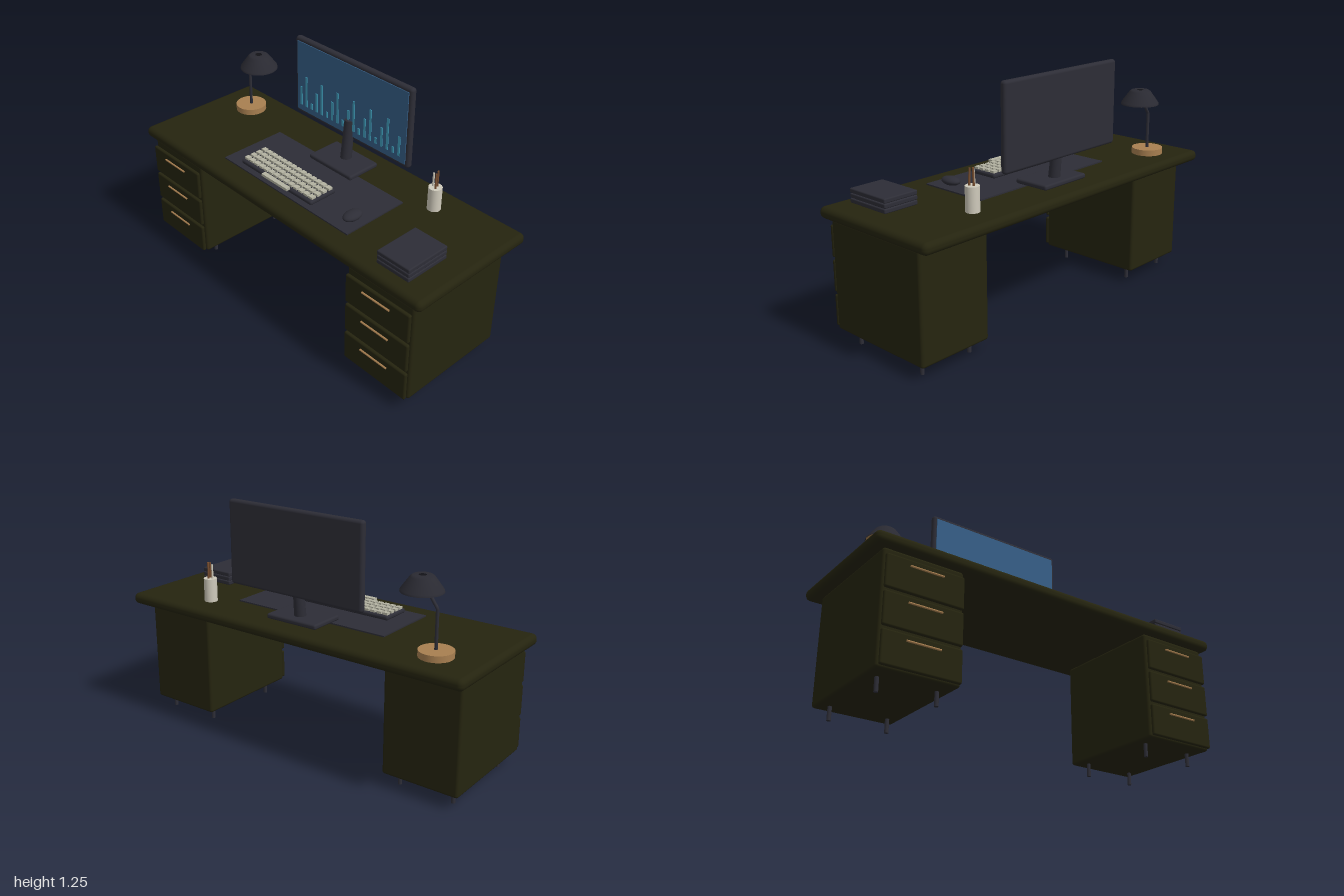
import * as THREE from 'three';
import { RoundedBoxGeometry } from 'three/addons/geometries/RoundedBoxGeometry.js';

const mat = (name, color) => {
  const m = new THREE.MeshStandardMaterial({ color });
  m.name = name;
  return m;
};

export function createModel() {
  const olive = mat('dark olive', 0x25240f);
  const charcoal = mat('charcoal', 0x2d2d36);
  const wood = mat('light wood', 0xa87f50);
  const cream = mat('cream', 0xcfcabb);
  const keyGrey = mat('key grey', 0xb4b3a2);
  const blue = mat('screen blue', 0x365f88);
  const teal = mat('chart teal', 0x419fbe);
  const brown = mat('pencil brown', 0x7a4f30);
  const shadeMat = mat('lamp charcoal', 0x2a2a32);
  shadeMat.side = THREE.DoubleSide;

  const model = new THREE.Group();
  model.name = 'desk';
  const group = (name, parent = model) => {
    const g = new THREE.Group();
    g.name = name;
    parent.add(g);
    return g;
  };
  const add = (parent, name, geo, material, x, y, z) => {
    const m = new THREE.Mesh(geo, material);
    m.name = name;
    m.position.set(x, y, z);
    parent.add(m);
    return m;
  };
  // box given by its centre and size, rounded when r > 0
  const box = (parent, name, material, [x, y, z], [w, h, d], r = 0) =>
    add(parent, name, r ? new RoundedBoxGeometry(w, h, d, 3, r) : new THREE.BoxGeometry(w, h, d), material, x, y, z);
  const rod = (parent, name, material, [x, y, z], rTop, rBottom, h, sides = 24) =>
    add(parent, name, new THREE.CylinderGeometry(rTop, rBottom, h, sides), material, x, y, z);

  // Desk top
  box(model, 'deskTop', olive, [0, 0.655, -0.002], [2, 0.058, 0.731], 0.026);

  // Two drawer pedestals
  for (const side of [-1, 1]) {
    const p = group(side < 0 ? 'rightPedestal' : 'leftPedestal');
    const cx = side * 0.75;
    box(p, 'cabinet', olive, [cx, 0.343, 0.033], [0.405, 0.552, 0.605], 0.014);
    for (let i = 0; i < 3; i++) {
      const y = 0.155 + i * 0.174;
      box(p, 'drawerFront', olive, [cx, y, 0.348], [0.392, 0.16, 0.02], 0.009);
      const handle = rod(p, 'drawerHandle', wood, [cx, y + 0.045, 0.364], 0.005, 0.005, 0.166, 10);
      handle.rotation.z = Math.PI / 2;
    }
    for (const dx of [-0.144, 0.144])
      for (const z of [0.238, -0.197]) rod(p, 'foot', charcoal, [cx + dx, 0.037, z], 0.01, 0.01, 0.074, 12);
  }

  // Monitor with bar chart
  const monitor = group('monitor');
  box(monitor, 'panel', charcoal, [0, 1.034, -0.223], [0.8, 0.431, 0.036], 0.015);
  box(monitor, 'screen', blue, [0, 1.035, -0.204], [0.764, 0.39, 0.006]);
  const barHeights = [0.106, 0.172, 0.034];
  for (let i = 0; i < 19; i++) {
    const h = barHeights[i % 3];
    box(monitor, 'chartBar', teal, [-0.352 + i * 0.0385, 0.873 + h / 2, -0.2005], [0.014, h, 0.004]);
  }
  const neck = rod(monitor, 'neck', charcoal, [0, 0.815, -0.195], 0.026, 0.03, 0.22);
  neck.rotation.x = -0.1;
  box(monitor, 'standBase', charcoal, [0, 0.703, -0.165], [0.3, 0.026, 0.195], 0.01);

  // Desk mat
  box(model, 'deskMat', charcoal, [0, 0.687, 0.06], [0.9, 0.008, 0.375]);

  // Keyboard
  const keyboard = group('keyboard');
  box(keyboard, 'keyboardBody', charcoal, [-0.086, 0.703, 0.138], [0.524, 0.024, 0.165], 0.01);
  for (let row = 0; row < 4; row++)
    for (let col = 0; col < 14; col++)
      box(keyboard, 'key', keyGrey, [-0.326 + col * 0.0368, 0.72, 0.08 + row * 0.037], [0.027, 0.014, 0.025]);
  box(keyboard, 'spaceBar', keyGrey, [-0.068, 0.72, 0.23], [0.186, 0.014, 0.025]);

  // Mouse
  const mouse = add(model, 'mouse', new THREE.SphereGeometry(1, 24, 16), charcoal, 0.382, 0.712, 0.145);
  mouse.scale.set(0.036, 0.022, 0.056);

  // Stack of books
  const books = group('bookStack');
  for (let i = 0; i < 3; i++) box(books, 'book', charcoal, [0.776, 0.697 + i * 0.024, 0.168], [0.192, 0.023, 0.25], 0.006);

  // Pen cup
  const penCup = group('penCup');
  rod(penCup, 'cup', cream, [0.577, 0.745, -0.207], 0.034, 0.034, 0.122);
  const pens = [[-0.014, 0, cream, 0.03], [0.008, 0.008, brown, -0.03], [0.002, -0.012, brown, 0.02]];
  pens.forEach(([dx, dz, m, tilt], i) => {
    const pen = rod(penCup, 'pen', m, [0.577 + dx, 0.83 + i * 0.006, -0.205 + dz], 0.005, 0.005, 0.1, 8);
    pen.rotation.set(tilt, 0, -tilt);
  });

  // Desk lamp
  const lamp = group('deskLamp');
  rod(lamp, 'lampBase', wood, [-0.768, 0.701, -0.19], 0.083, 0.083, 0.032, 36);
  const path = new THREE.CurvePath();
  const pts = [[-0.766, 0.71], [-0.766, 0.905], [-0.69, 1.01]].map(([x, y]) => new THREE.Vector3(x, y, -0.19));
  path.add(new THREE.LineCurve3(pts[0], pts[1]));
  path.add(new THREE.LineCurve3(pts[1], pts[2]));
  add(lamp, 'lampStem', new THREE.TubeGeometry(path, 32, 0.008, 10), charcoal, 0, 0, 0);
  // shade with a small vent ring on top
  const profile = [[0.1, 0.97], [0.098, 0.98], [0.056, 1.038], [0.045, 1.046], [0.018, 1.046]];
  const shade = new THREE.LatheGeometry(profile.map(([r, y]) => new THREE.Vector2(r, y)), 36);
  add(lamp, 'lampShade', shade, shadeMat, -0.685, 0, -0.19);
  rod(lamp, 'lampDiffuser', wood, [-0.685, 0.98, -0.19], 0.094, 0.094, 0.006, 36);

  return model;
}
